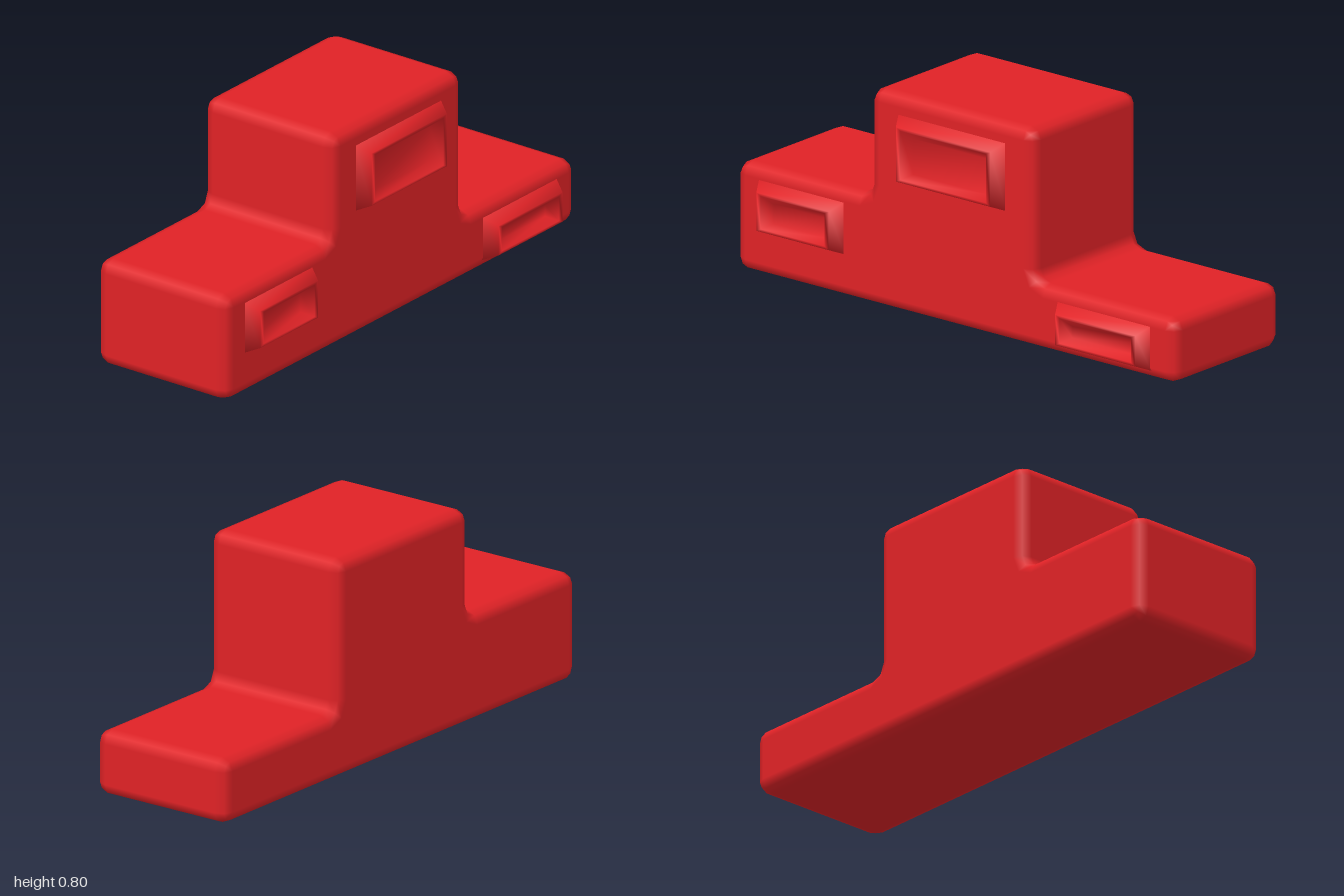
import * as THREE from 'three';

const R = 0.045; // edge rounding
const STEPS = 2; // segments per rounded edge
const BACK = -0.31, FRONT = 0.263;

// Stepped outline, counter-clockwise
const OUTLINE = [
  [-1, 0], [1, 0], [1, 0.24], [0.355, 0.24],
  [0.355, 0.8], [-0.39, 0.8], [-0.39, 0.4], [-1, 0.4],
].map(([x, y]) => new THREE.Vector2(x, y));

// Outline with rounded corners, inset by d, with its outward normals
function roundedOutline(d) {
  const n = OUTLINE.length, result = [];
  OUTLINE.forEach((p, i) => {
    const a = p.clone().sub(OUTLINE[(i + n - 1) % n]).normalize();
    const b = OUTLINE[(i + 1) % n].clone().sub(p).normalize();
    const centre = p.clone().addScaledVector(a, -R).addScaledVector(b, R);
    const convex = a.cross(b) > 0;
    for (let s = 0; s <= STEPS; s++) {
      const t = (s / STEPS) * Math.PI / 2, c = Math.cos(t), k = Math.sin(t);
      const normal = new THREE.Vector2(c * a.y + k * b.y, -c * a.x - k * b.x);
      const point = centre.clone().addScaledVector(normal, convex ? R - d : -R - d);
      result.push({ point, normal });
    }
  });
  return result;
}

// Solid stepped block with every edge softly rounded
function podiumGeometry() {
  const positions = [], normals = [], index = [], rings = [];
  for (const end of [-1, 1]) {
    for (let s = 0; s <= STEPS; s++) {
      const phi = (end < 0 ? s - STEPS : s) / STEPS * Math.PI / 2;
      const ring = roundedOutline(R * (1 - Math.cos(phi)));
      const z = (end < 0 ? BACK + R : FRONT - R) + R * Math.sin(phi);
      for (const { point, normal } of ring) {
        positions.push(point.x, point.y, z);
        normals.push(normal.x * Math.cos(phi), normal.y * Math.cos(phi), Math.sin(phi));
      }
      rings.push(ring);
    }
  }
  const n = rings[0].length, last = rings.length - 1;
  for (let j = 0; j < last; j++) {
    for (let i = 0; i < n; i++) {
      const a = j * n + i, b = j * n + (i + 1) % n;
      index.push(a, b, b + n, a, b + n, a + n);
    }
  }
  // Flat front and back, skipping the points that meet at convex corners
  const ring = rings[last];
  const keep = ring.map((_, i) => i).filter(
    (i) => ring[i].point.distanceTo(ring[(i + 1) % n].point) > 1e-5);
  const faces = THREE.ShapeUtils.triangulateShape(keep.map((i) => ring[i].point.clone()), []);
  for (const [a, b, c] of faces) {
    index.push(last * n + keep[a], last * n + keep[b], last * n + keep[c]);
    index.push(keep[a], keep[c], keep[b]);
  }
  const geometry = new THREE.BufferGeometry();
  geometry.setAttribute('position', new THREE.Float32BufferAttribute(positions, 3));
  geometry.setAttribute('normal', new THREE.Float32BufferAttribute(normals, 3));
  geometry.setIndex(index);
  return geometry;
}

// Raised plaque: sloped outside, thin rim, sloped recess
function plaqueGeometry(x0, x1, y0, y1) {
  // x inset, bottom inset, top inset, z
  const rings = [
    [-0.03, -0.022, -0.03, FRONT - 0.004],
    [0, 0, 0, 0.31],
    [0.02, 0.01, 0.01, 0.31],
    [0.045, 0.025, 0.045, 0.268],
  ];
  const positions = [], index = [];
  for (const [dx, low, high, z] of rings) {
    positions.push(x0 + dx, y0 + low, z, x1 - dx, y0 + low, z,
      x1 - dx, y1 - high, z, x0 + dx, y1 - high, z);
  }
  for (let j = 0; j < rings.length - 1; j++) {
    for (let i = 0; i < 4; i++) {
      const a = j * 4 + i, b = j * 4 + (i + 1) % 4;
      index.push(a, b, b + 4, a, b + 4, a + 4);
    }
  }
  index.push(12, 13, 14, 12, 14, 15);
  const geometry = new THREE.BufferGeometry();
  geometry.setAttribute('position', new THREE.Float32BufferAttribute(positions, 3));
  geometry.setIndex(index);
  geometry.computeVertexNormals();
  return geometry;
}

export function createModel() {
  const model = new THREE.Group();
  model.name = 'podium';
  const red = new THREE.MeshStandardMaterial({ color: 0xe02226 });
  red.name = 'red';
  const add = (name, geometry) => {
    const mesh = new THREE.Mesh(geometry, red);
    mesh.name = name;
    model.add(mesh);
  };

  add('steppedBlock', podiumGeometry());

  // One plaque on the front of each step
  add('middlePlaque', plaqueGeometry(-0.23, 0.2, 0.5, 0.7));
  add('rightPlaque', plaqueGeometry(-0.865, -0.535, 0.182, 0.323));
  add('leftPlaque', plaqueGeometry(0.495, 0.86, 0.056, 0.168));
  return model;
}
